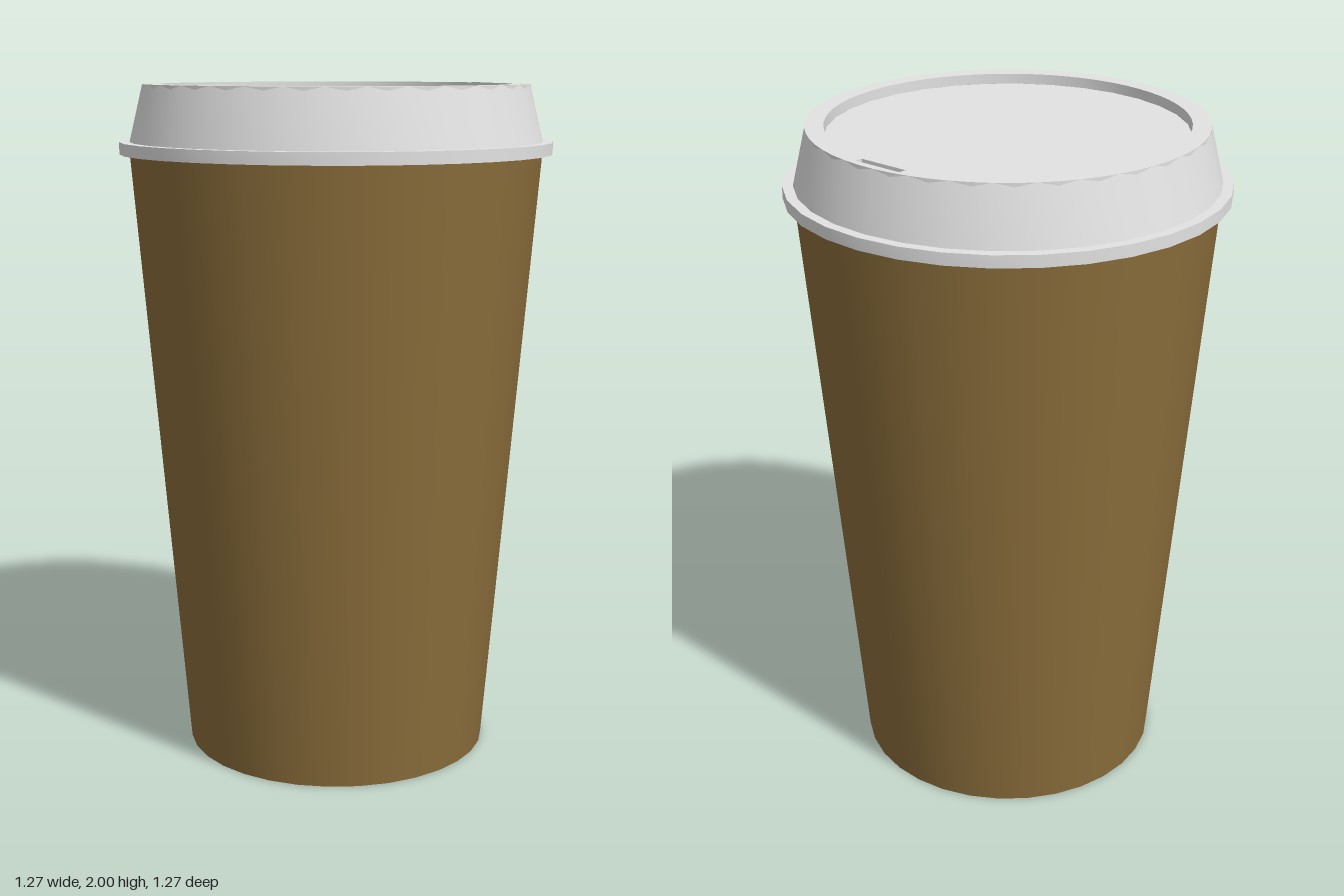
import * as THREE from 'three';
import { toCreasedNormals } from 'three/addons/utils/BufferGeometryUtils.js';

const SIDES = 32;
const CREASE = 0.4;

export function createModel() {
  const model = new THREE.Group();
  const material = (name, color, side = THREE.FrontSide) => {
    const m = new THREE.MeshStandardMaterial({ color, side });
    m.name = name;
    return m;
  };
  const brown = material('cardboardBrown', 0x8a6d3b, THREE.DoubleSide);
  const white = material('plasticWhite', 0xe2e2e2, THREE.DoubleSide);

  const add = (name, geometry, mat) => {
    const mesh = new THREE.Mesh(toCreasedNormals(geometry, CREASE), mat);
    mesh.name = name;
    model.add(mesh);
    return mesh;
  };
  const lathe = (points) =>
    new THREE.LatheGeometry(points.map(([r, y]) => new THREE.Vector2(r, y)), SIDES);
  const disc = (radius, y, down) =>
    new THREE.CircleGeometry(radius, SIDES).rotateX(down ? Math.PI / 2 : -Math.PI / 2).translate(0, y, 0);

  // Tapered paper wall with a thin foot and an inner face
  add('cupWall', lathe([
    [0.44, 0.05], [0.44, 0], [0.455, 0], [0.605, 1.8], [0.595, 1.8], [0.444, 0.05],
  ]), brown);

  // Base disc, set up inside the foot
  add('cupBase', disc(0.442, 0.05, true), white);

  // Lid: flange and sloping wall
  add('lidWall', lathe([
    [0.595, 1.8], [0.635, 1.8], [0.635, 1.835], [0.605, 1.835], [0.565, 2],
  ]), white);

  // Flat rim of the lid, pierced by the drinking slot
  const rim = new THREE.Shape().absarc(0, 0, 0.565, 0, Math.PI * 2);
  rim.holes.push(new THREE.Path().absarc(0, 0, 0.512, 0, Math.PI * 2, true));
  rim.holes.push(new THREE.Path([
    [-0.072, 0.546], [0.082, 0.54], [0.08, 0.518], [-0.074, 0.523],
  ].map(([x, y]) => new THREE.Vector2(x, y))));
  const rimGeometry = new THREE.ExtrudeGeometry(rim, {
    depth: 0.03, bevelEnabled: false, curveSegments: SIDES,
  });
  rimGeometry.rotateX(-Math.PI / 2).translate(0, 1.97, 0);
  add('lidRim', rimGeometry, white);

  // Sunken centre of the lid
  add('lidPanel', disc(0.512, 1.97, false), white);

  return model;
}
